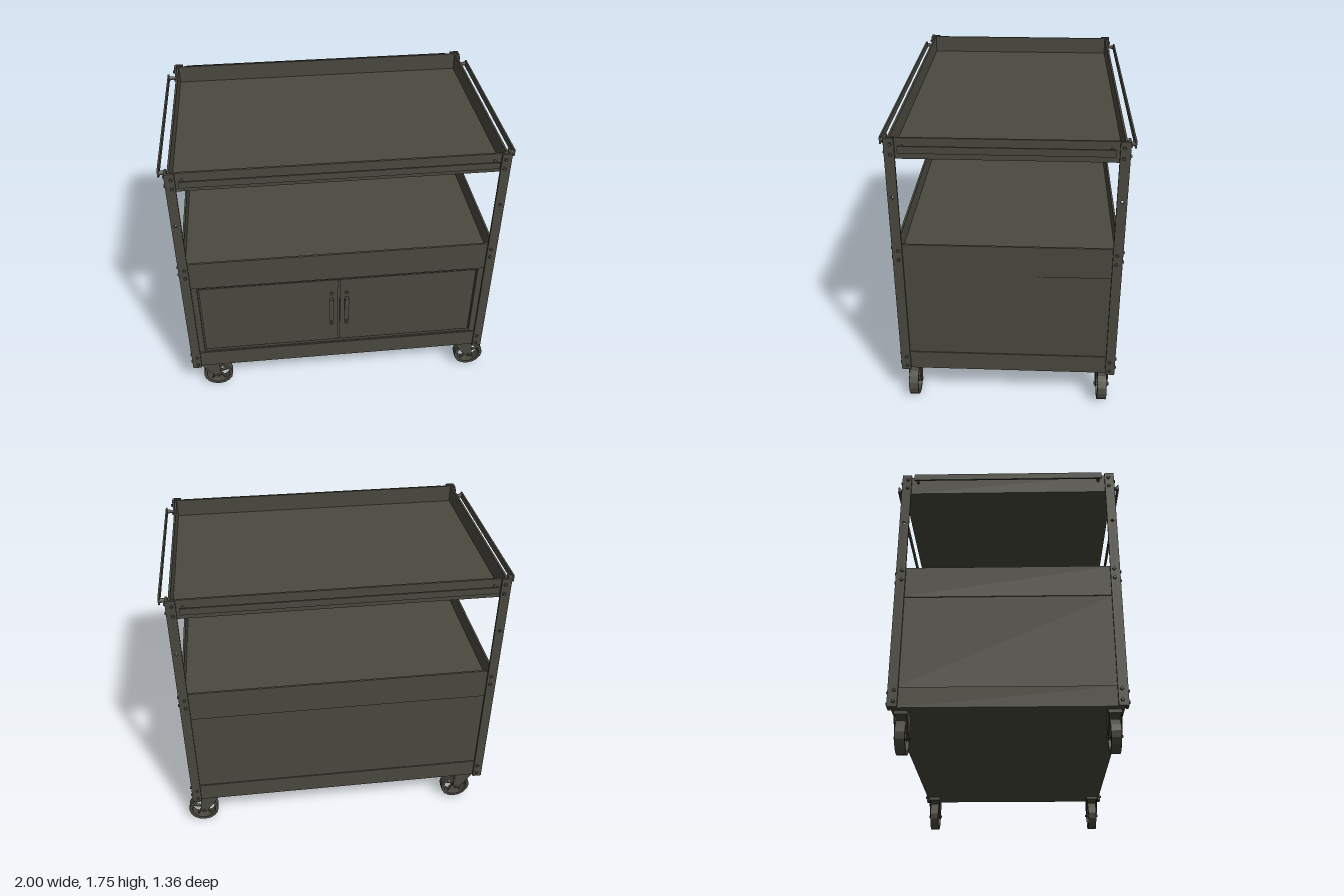
import * as THREE from 'three';

export function createModel() {
  const model = new THREE.Group();
  model.name = 'utilityCart';
  const steel = new THREE.MeshStandardMaterial({ color: 0x4b4a40 });
  steel.name = 'olive grey steel';

  const add = (parent, name, geo, x = 0, y = 0, z = 0) => {
    const m = new THREE.Mesh(geo, steel);
    m.name = name;
    m.position.set(x, y, z);
    parent.add(m);
    return m;
  };
  // box given by its limits
  const box = (parent, name, x0, x1, y0, y1, z0, z1) =>
    add(parent, name, new THREE.BoxGeometry(x1 - x0, y1 - y0, z1 - z0),
      (x0 + x1) / 2, (y0 + y1) / 2, (z0 + z1) / 2);
  const group = (name, parent = model) => {
    const g = new THREE.Group();
    g.name = name;
    parent.add(g);
    return g;
  };
  const rect = (C, x0, x1, y0, y1) => new C([
    [x0, y0], [x1, y0], [x1, y1], [x0, y1]].map(p => new THREE.Vector2(...p)));
  const plate = (shape, depth) =>
    new THREE.ExtrudeGeometry(shape, { depth, bevelEnabled: false, curveSegments: 8 });

  // open trays: floor with four thin walls
  const W = 0.94, D = 0.627;
  const tray = (name, y0, floorY, y1) => {
    const g = group(name), t = 0.012;
    box(g, 'trayFloor', -W + t, W - t, floorY, floorY + t, -D + t, D - t);
    for (const s of [-1, 1]) {
      const z = s * (D - t / 2), x = s * (W - t / 2);
      box(g, 'trayLongWall', -W, W, y0, y1, z - t / 2, z + t / 2);
      box(g, 'trayShortWall', x - t / 2, x + t / 2, y0, y1, -D + t, D - t);
    }
  };
  tray('upperTray', 1.62, 1.62, 1.74);
  tray('lowerTray', 0.895, 0.97, 1.09);

  // cabinet: base skirt, recessed side and back panels, front frame
  const cabinet = group('cabinet');
  box(cabinet, 'baseSkirt', -W, W, 0.215, 0.335, -D, D);
  for (const s of [-1, 1]) {
    const x = s * 0.928;
    box(cabinet, 'sidePanel', x - 0.006, x + 0.006, 0.335, 0.895, -0.615, 0.605);
  }
  box(cabinet, 'backPanel', -0.922, 0.922, 0.335, 0.895, -0.62, -0.608);
  box(cabinet, 'doorBacking', -0.922, 0.922, 0.335, 0.895, 0.59, 0.6);
  const frame = rect(THREE.Shape, -0.93, 0.93, 0.335, 0.895);
  frame.holes.push(rect(THREE.Path, -0.868, 0.868, 0.345, 0.882));
  add(cabinet, 'doorFrame', plate(frame, 0.02), 0, 0, 0.6);

  // doors with bowed pull handles
  for (const s of [-1, 1]) {
    const door = group(s > 0 ? 'leftDoor' : 'rightDoor');
    door.scale.x = s;
    box(door, 'doorPanel', 0.006, 0.859, 0.354, 0.873, 0.6, 0.614);
    box(door, 'handleGrip', 0.034, 0.062, 0.545, 0.725, 0.626, 0.637);
    for (const e of [-1, 1]) {
      box(door, 'handleFoot', 0.038, 0.058, 0.635 + e * 0.082 - 0.008, 0.635 + e * 0.082 + 0.008, 0.612, 0.628);
      const b = add(door, 'handleBolt', new THREE.CylinderGeometry(0.011, 0.011, 0.012, 8), 0.048, 0.635 + e * 0.13, 0.618);
      b.rotation.x = Math.PI / 2;
    }
  }

  // corner posts: two drilled flanges in an L, with bolts
  const boltGeo = new THREE.CylinderGeometry(0.009, 0.011, 0.014, 6);
  for (const sx of [-1, 1]) for (const sz of [-1, 1]) {
    const post = group('cornerPost');
    post.scale.set(sx, 1, sz);
    const flange = () => {
      const f = rect(THREE.Shape, -0.056, 0, 0.215, 1.745);
      const hole = new THREE.Path();
      hole.absarc(-0.026, 1.395, 0.009, 0, Math.PI * 2, true);
      f.holes.push(hole);
      return plate(f, 0.014);
    };
    add(post, 'frontFlange', flange(), 0.957, 0, 0.631);
    const side = add(post, 'sideFlange', flange(), 0.943, 0, 0.645);
    side.rotation.y = -Math.PI / 2;
    side.scale.z = -1;
    for (const y of [0.245, 0.31, 1.0, 1.06, 1.65, 1.71]) {
      add(post, 'bolt', boltGeo, 0.922, y, 0.648).rotation.x = Math.PI / 2;
      add(post, 'bolt', boltGeo, 0.96, y, 0.61).rotation.z = -Math.PI / 2;
    }
  }

  // flat bumper rails around the upper tray on tapered standoffs
  const rail = (half, reach, wall, turn) => {
    const g = group('bumperRail');
    g.rotation.y = turn;
    box(g, 'railStrip', -half, half, 1.677, 1.717, reach - 0.01, reach);
    for (const s of [-1, 1]) {
      const len = reach - wall;
      const c = add(g, 'railStandoff', new THREE.CylinderGeometry(0.016, 0.006, len, 8),
        s * (half - 0.016), 1.697, wall + len / 2 - 0.003);
      c.rotation.x = Math.PI / 2;
    }
  };
  for (const s of [0, 1]) {
    rail(0.88, 0.682, D, s * Math.PI);
    rail(0.565, 1, W, s * Math.PI + Math.PI / 2);
  }

  // swivel casters, all trailing towards +x
  const ring = new THREE.Shape();
  ring.absarc(0, 0, 0.095, 0, Math.PI * 2, false);
  const bore = new THREE.Path();
  bore.absarc(0, 0, 0.076, 0, Math.PI * 2, true);
  ring.holes.push(bore);
  const tyreGeo = plate(ring, 0.056).translate(0, 0, -0.028);
  const forkGeo = plate(new THREE.Shape([
    [-0.1, 0.105], [0.012, 0.105], [0.02, 0.0], [0.008, -0.018], [-0.012, -0.016], [-0.07, 0.055],
  ].map(p => new THREE.Vector2(...p))), 0.006);
  for (const x of [-0.803, 0.898]) for (const z of [-0.575, 0.575]) {
    const caster = group('caster');
    caster.position.set(x, 0.095, z);
    add(caster, 'tyre', tyreGeo);
    add(caster, 'hub', new THREE.CylinderGeometry(0.018, 0.018, 0.05, 10)).rotation.x = Math.PI / 2;
    add(caster, 'axle', new THREE.CylinderGeometry(0.009, 0.009, 0.09, 8)).rotation.x = Math.PI / 2;
    for (let i = 0; i < 5; i++) {
      const a = i * Math.PI * 2 / 5 + 0.3;
      const spoke = add(caster, 'spoke', new THREE.BoxGeometry(0.064, 0.006, 0.02),
        Math.cos(a) * 0.046, Math.sin(a) * 0.046, 0);
      spoke.rotation.z = a;
    }
    for (const s of [-1, 1]) add(caster, 'forkPlate', forkGeo, 0, 0, s * 0.035 - 0.003);
    box(caster, 'forkCrown', -0.1, 0.012, 0.1, 0.12, -0.038, 0.038);
  }
  return model;
}
